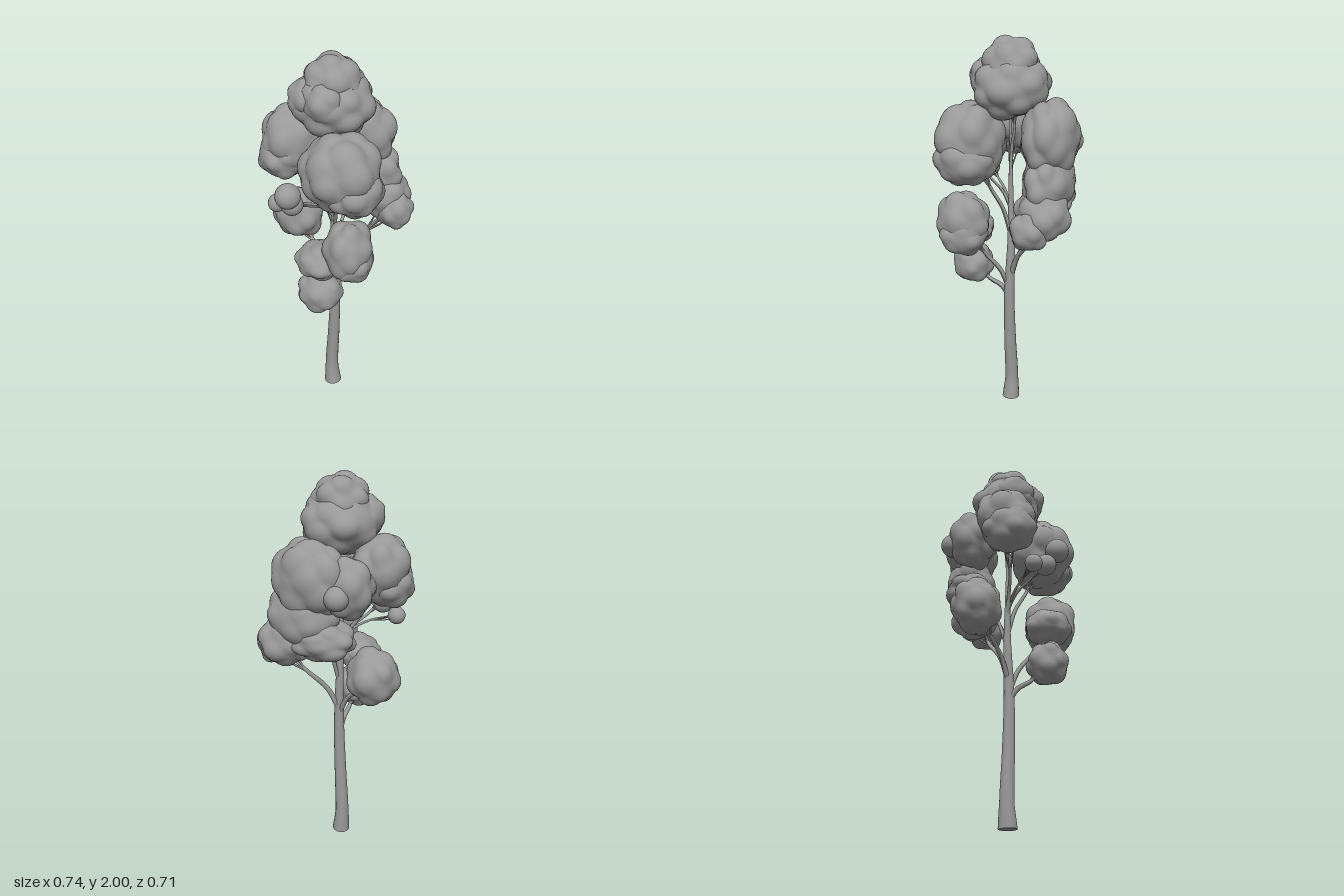
import * as THREE from 'three';

const grey = new THREE.MeshStandardMaterial({ color: 0x999999 });
grey.name = 'plain grey';

// Seeded random numbers, 0..1
function makeRandom(seed) {
  let s = seed * 7919 + 17;
  return () => {
    s = (s * 16807) % 2147483647;
    return s / 2147483647;
  };
}

// Broad round lobes spread evenly inside a unit sphere, just reaching its surface
function makeLobes(count, seed) {
  const random = makeRandom(seed);
  const turn = random() * 6.28;
  return Array.from({ length: count }, (_, i) => {
    const h = 1 - (2 * (i + 0.5)) / count;
    const a = turn + i * 2.4 + (random() - 0.5) * 0.5;
    const w = Math.sqrt(1 - h * h);
    const r = 0.4 + random() * 0.14;
    const reach = 0.97 + random() * 0.08 - r;
    return { c: new THREE.Vector3(w * Math.cos(a), h, w * Math.sin(a)).multiplyScalar(reach), r };
  });
}

// Lumpy foliage: an ellipsoid core joined with its lobes; bigger clumps get more lobes
function foliage(name, [x, y, z], [rx, ry, rz], seed) {
  const lobes = makeLobes(Math.round(6 + rx * 70), seed);
  const detail = Math.round(10 + rx * 100);
  const geometry = new THREE.SphereGeometry(1, detail * 2, detail);
  const p = geometry.attributes.position;
  const d = new THREE.Vector3();
  for (let i = 0; i < p.count; i++) {
    d.fromBufferAttribute(p, i).normalize();
    let t = 0.9;
    for (const { c, r } of lobes) {
      const b = d.dot(c);
      const q = b * b - c.lengthSq() + r * r;
      if (q > 0) t = Math.max(t, b + Math.sqrt(q));
    }
    p.setXYZ(i, d.x * t * rx, d.y * t * ry, d.z * t * rz);
  }
  geometry.computeVertexNormals();
  // Share normals along the seam
  const n = geometry.attributes.normal;
  const ring = detail * 2 + 1;
  for (let j = 0; j <= detail; j++) {
    const a = j * ring, b = a + ring - 1;
    d.set(n.getX(a) + n.getX(b), n.getY(a) + n.getY(b), n.getZ(a) + n.getZ(b)).normalize();
    n.setXYZ(a, d.x, d.y, d.z);
    n.setXYZ(b, d.x, d.y, d.z);
  }
  const mesh = new THREE.Mesh(geometry, grey);
  mesh.name = name;
  mesh.position.set(x, y, z);
  return mesh;
}

// Tube through points; radii are spread evenly along its length
function limb(name, points, radii, segments = 16, sides = 10) {
  const curve = new THREE.CatmullRomCurve3(points);
  const geometry = new THREE.TubeGeometry(curve, segments, 1, sides);
  const p = geometry.attributes.position;
  const v = new THREE.Vector3();
  for (let i = 0; i <= segments; i++) {
    const center = curve.getPointAt(i / segments);
    const f = (i / segments) * (radii.length - 1);
    const k = Math.min(Math.floor(f), radii.length - 2);
    const r = THREE.MathUtils.lerp(radii[k], radii[k + 1], f - k);
    for (let j = 0; j <= sides; j++) {
      const id = i * (sides + 1) + j;
      v.fromBufferAttribute(p, id).sub(center).multiplyScalar(r).add(center);
      p.setXYZ(id, v.x, v.y, v.z);
    }
  }
  geometry.computeVertexNormals();
  const mesh = new THREE.Mesh(geometry, grey);
  mesh.name = name;
  return mesh;
}

const vec = (x, y, z) => new THREE.Vector3(x, y, z);

export function createModel() {
  const tree = new THREE.Group();
  tree.name = 'tree';

  // Trunk with a short flared foot
  const spine = [vec(0, 0, 0), vec(-0.008, 0.12, -0.003), vec(0.005, 0.38, 0.003), vec(0.014, 0.65, 0.005),
    vec(0.006, 0.95, -0.003), vec(0, 1.25, 0), vec(0.005, 1.7, 0)];
  tree.add(limb('trunk', spine,
    [0.047, 0.036, 0.034, 0.032, 0.03, 0.028, 0.026, 0.023, 0.019, 0.016, 0.013, 0.01, 0.008, 0.006, 0.005], 42, 16));
  const foot = new THREE.Mesh(new THREE.CircleGeometry(0.047, 16), grey);
  foot.name = 'trunkFoot';
  foot.rotation.x = Math.PI / 2;
  tree.add(foot);

  // Branches: radius, height on the trunk, bend, tip; each ends in a fan of three twigs
  const branches = [
    [0.015, 0.62, [0.005, 0.73, 0.12], [0, 0.8, 0.18]],
    [0.014, 0.66, [0.08, 0.91, 0.12], [0.12, 1.03, 0.18]],
    [0.014, 0.74, [-0.13, 0.92, -0.06], [-0.22, 1.0, -0.1]],
    [0.015, 0.75, [0.13, 1.0, -0.12], [0.24, 1.12, -0.17]],
    [0.011, 0.9, [0.05, 1.2, -0.12], [0.05, 1.33, -0.18]],
    [0.012, 1.0, [0.05, 1.25, 0.09], [0.09, 1.42, 0.15]],
    [0.011, 1.08, [-0.1, 1.3, 0.03], [-0.18, 1.45, 0.03]],
    [0.009, 1.14, [-0.08, 1.26, 0.13], [-0.13, 1.34, 0.24]],
    [0.008, 1.14, [-0.12, 1.25, 0.1], [-0.22, 1.27, 0.16]],
    [0.009, 1.35, [0.04, 1.58, -0.03], [0.06, 1.7, -0.02]],
  ];
  branches.forEach(([r, height, bendAt, tipAt], i) => {
    const start = vec(0.007, height, 0);
    const bend = vec(...bendAt);
    const tip = vec(...tipAt);
    // Rise steeply first, then lean out
    const elbow = start.clone().lerp(bend, 0.5).add(vec(-bend.x * 0.1, 0.015, -bend.z * 0.1));
    tree.add(limb('branch', [start, elbow, bend, tip], [r, r * 0.8, r * 0.4]));
    for (let k = 0; k < 3; k++) {
      const a = i + k * 2.1;
      const spread = r * 3.5;
      const end = tip.clone().add(vec(spread * Math.cos(a), 0, spread * Math.sin(a)));
      const middle = bend.clone().lerp(end, 0.5).add(vec(0, -0.008, 0));
      tree.add(limb('twig', [bend, middle, end], [r * 0.45, r * 0.25], 6, 6));
    }
  });

  // Foliage clumps: name, centre, radii
  const clumps = [
    ['crownBody', [0, 1.765, 0], [0.205, 0.165, 0.195]],
    ['crownTop', [0, 1.865, 0], [0.145, 0.13, 0.14]],
    ['crownSide', [-0.1, 1.79, 0.05], [0.105, 0.11, 0.11]],
    ['crownFront', [0, 1.8, 0.11], [0.1, 0.1, 0.1]],
    ['upperFrontFoliage', [0.1, 1.5, 0.175], [0.2, 0.205, 0.175]],
    ['upperFrontFoliageLow', [0.17, 1.43, 0.18], [0.145, 0.135, 0.155]],
    ['upperRightFoliage', [-0.2, 1.56, 0.02], [0.15, 0.175, 0.16]],
    ['upperRightFoliageLow', [-0.235, 1.48, 0.05], [0.13, 0.125, 0.145]],
    ['upperBackFoliage', [0.05, 1.53, -0.21], [0.205, 0.2, 0.145]],
    ['upperBackFoliageSide', [-0.11, 1.5, -0.17], [0.145, 0.16, 0.13]],
    ['middleBackFoliage', [0.1, 1.33, -0.215], [0.195, 0.17, 0.135]],
    ['middleBackFoliageLow', [0.01, 1.235, -0.2], [0.185, 0.11, 0.135]],
    ['lowerBackFoliage', [0.2, 1.2, -0.21], [0.14, 0.135, 0.14]],
    ['lowerBackFoliageEnd', [0.275, 1.14, -0.165], [0.1, 0.105, 0.1]],
    ['lowerRightFoliage', [-0.235, 1.05, -0.115], [0.14, 0.15, 0.13]],
    ['lowerFrontFoliage', [0.15, 1.1, 0.205], [0.125, 0.16, 0.145]],
    ['lowerFrontFoliageSide', [0.01, 1.015, 0.21], [0.135, 0.095, 0.125]],
    ['lowerFrontFoliageEnd', [0.18, 1.04, 0.2], [0.1, 0.11, 0.13]],
    ['lowestFoliage', [0.005, 0.815, 0.205], [0.122, 0.115, 0.11]],
  ];
  clumps.forEach(([name, center, radii], i) => tree.add(foliage(name, center, radii, i + 3)));

  // Small plain balls of leaves: radius, centre
  const balls = [
    [0.06, -0.12, 1.48, -0.28],
    [0.062, -0.125, 1.39, 0.28],
    [0.055, -0.13, 1.31, 0.22],
    [0.045, -0.23, 1.27, 0.17],
  ];
  for (const [r, x, y, z] of balls) {
    const ball = new THREE.Mesh(new THREE.SphereGeometry(r, 24, 14), grey);
    ball.name = 'leafBall';
    ball.position.set(x, y, z);
    tree.add(ball);
  }
  return tree;
}
